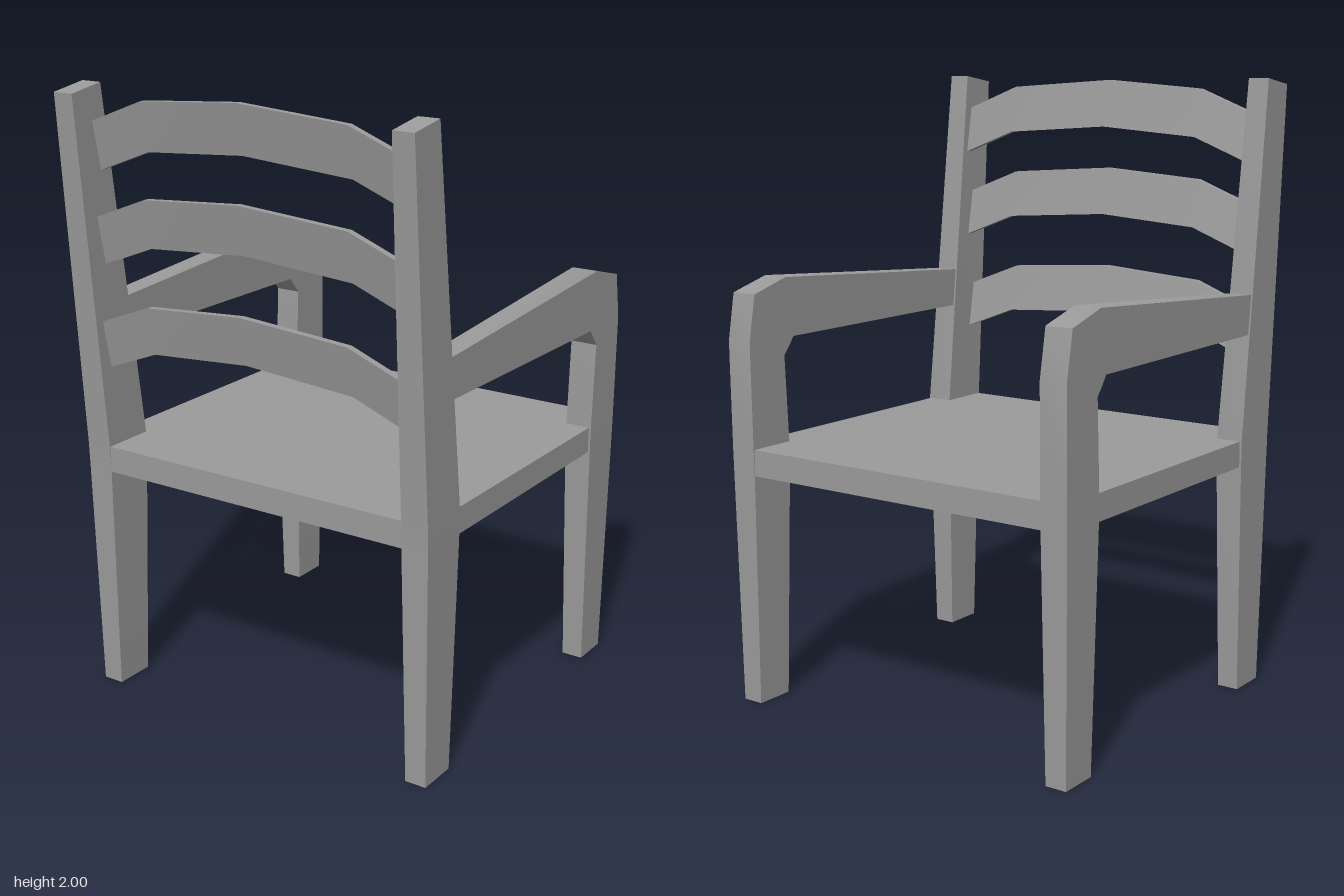
import * as THREE from 'three';
import { toCreasedNormals } from 'three/addons/utils/BufferGeometryUtils.js';

const material = new THREE.MeshStandardMaterial({ color: 0x9b9b9b });

// Joins four-cornered cross-sections into a closed bar; only gentle bends are smoothed.
function loft(sections) {
  const pos = [];
  const quad = (a, b, c, d) => pos.push(...a, ...b, ...c, ...a, ...c, ...d);
  for (let i = 0; i < sections.length - 1; i++) {
    const a = sections[i], b = sections[i + 1];
    for (let k = 0; k < 4; k++) {
      const n = (k + 1) % 4;
      quad(a[k], b[k], b[n], a[n]);
    }
  }
  quad(...sections[0]);
  quad(...[...sections[sections.length - 1]].reverse());
  const geometry = new THREE.BufferGeometry();
  geometry.setAttribute('position', new THREE.Float32BufferAttribute(pos, 3));
  return toCreasedNormals(geometry, Math.PI / 6);
}

// Rows: [z, y of the -z edge, z, y of the +z edge, inner x, outer x]
function sideBar(rows, side) {
  return loft(rows.map(([z0, y0, z1, y1, xi, xo]) => {
    const corners = [[xi, y0, z0], [xo, y0, z0], [xo, y1, z1], [xi, y1, z1]]
      .map(([x, y, z]) => [x * side, y, z]);
    return side > 0 ? corners : corners.reverse();
  }));
}

export function createModel() {
  const chair = new THREE.Group();
  chair.name = 'armchair';
  const add = (name, geometry) => {
    const mesh = new THREE.Mesh(geometry, material);
    mesh.name = name;
    chair.add(mesh);
    return mesh;
  };

  // Seat panel, flush with the legs
  add('seat', new THREE.BoxGeometry(1.266, 0.085, 1.178)).position.set(0, 0.805, -0.038);

  // Leg running up and bending into the armrest
  const armLeg = [
    [-0.617, 0, -0.487, 0, 0.562, 0.633],
    [-0.629, 0.763, -0.467, 0.763, 0.55, 0.64],
    [-0.631, 0.848, -0.467, 0.848, 0.55, 0.64],
    [-0.635, 1.19, -0.48, 1.13, 0.55, 0.64],
    [-0.608, 1.34, -0.457, 1.158, 0.55, 0.64],
    [-0.465, 1.38, -0.435, 1.187, 0.551, 0.639],
    [0.46, 1.316, 0.46, 1.19, 0.561, 0.632],
  ];
  // Leg continuing into the leaning back post
  const backPost = [
    [0.4, 0, 0.535, 0, 0.562, 0.633],
    [0.377, 0.763, 0.551, 0.763, 0.55, 0.64],
    [0.377, 0.848, 0.554, 0.848, 0.55, 0.64],
    [0.51, 2, 0.637, 1.98, 0.562, 0.633],
  ];
  for (const [label, side] of [['left', 1], ['right', -1]]) {
    add(label + 'ArmAndLeg', sideBar(armLeg, side));
    add(label + 'BackPost', sideBar(backPost, side));
  }

  // Arched back slats: [x, drop below the crown]
  const arch = [[-0.575, 0.106], [-0.37, 0.026], [-0.017, 0], [0.365, 0.026], [0.575, 0.106]];
  [1.36, 1.695, 1.99].forEach((crown, i) => {
    add('backSlat' + (i + 1), loft(arch.map(([x, drop]) => {
      const top = crown - drop, bottom = top - 0.155;
      return [[x, bottom, 0.502], [x, bottom, 0.526], [x, top, 0.555], [x, top, 0.531]];
    })));
  });

  return chair;
}
